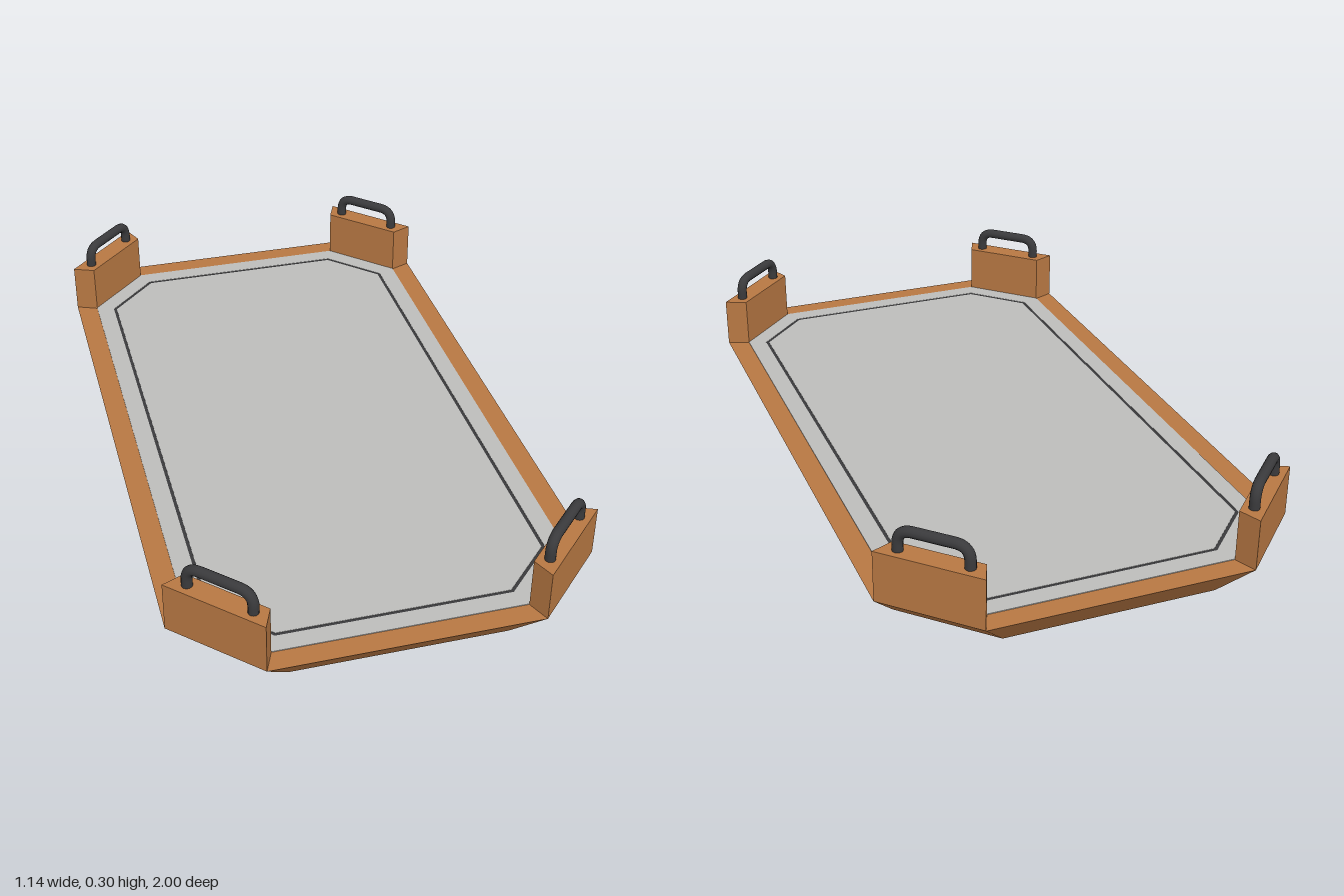
import * as THREE from 'three';

const mat = (name, color, extra = {}) => Object.assign(new THREE.MeshStandardMaterial({ color, ...extra }), { name });

const RIM = 0.087, BLOCK_TOP = 0.23;

// Chamfered rectangle: half width, half length, chamfer size
function octagon(w, l, c) {
  return [
    [w, l - c], [w - c, l], [c - w, l], [-w, l - c],
    [-w, c - l], [c - w, -l], [w - c, -l], [w, c - l],
  ].map(([x, y]) => new THREE.Vector2(x, y));
}

// Tray outline moved inward by an even distance
const inset = (d) => octagon(0.57 - d, 1 - d, 0.21 - d * (2 - Math.SQRT2));

// Lay an outline flat and extrude it upward from y0
function slab(points, hole, y0, height) {
  const shape = new THREE.Shape(points);
  if (hole) shape.holes.push(new THREE.Path(hole));
  const geo = new THREE.ExtrudeGeometry(shape, { depth: height, bevelEnabled: false });
  return geo.rotateX(-Math.PI / 2).translate(0, y0, 0);
}

export function createModel() {
  const group = new THREE.Group();
  const wood = mat('wood', 0xb87843, { flatShading: true });
  const grey = mat('grey panel', 0xbdbdbb, { flatShading: true });
  const black = mat('black metal', 0x3a3a3c);

  const add = (name, geo, material, parent = group) => {
    const mesh = new THREE.Mesh(geo, material);
    mesh.name = name;
    parent.add(mesh);
    return mesh;
  };

  // Tray base: the bottom outline is drawn in so the sides slope
  const base = slab(inset(0), null, 0, RIM);
  const p = base.attributes.position;
  for (let i = 0; i < p.count; i++) {
    if (p.getY(i) < RIM / 2) {
      p.setX(i, p.getX(i) - Math.sign(p.getX(i)) * 0.07);
      p.setZ(i, p.getZ(i) - Math.sign(p.getZ(i)) * 0.07);
    }
  }
  base.computeVertexNormals();
  add('trayBase', base, wood);

  // Thin grey border and panel with a dark seam between them
  add('panelBorder', slab(inset(0.061), inset(0.113), RIM - 0.001, 0.003), grey);
  add('panelSeam', slab(inset(0.113), inset(0.122), RIM - 0.001, 0.002), black);
  add('panel', slab(inset(0.122), null, RIM - 0.001, 0.003), grey);

  // Handle path: two legs and a bar with rounded corners
  const V = (x, y) => new THREE.Vector3(x, y, 0);
  const half = 0.095, top = 0.289, r = 0.04;
  const path = new THREE.CurvePath();
  path.add(new THREE.LineCurve3(V(-half, BLOCK_TOP - 0.01), V(-half, top - r)));
  path.add(new THREE.QuadraticBezierCurve3(V(-half, top - r), V(-half, top), V(r - half, top)));
  path.add(new THREE.LineCurve3(V(r - half, top), V(half - r, top)));
  path.add(new THREE.QuadraticBezierCurve3(V(half - r, top), V(half, top), V(half, top - r)));
  path.add(new THREE.LineCurve3(V(half, top - r), V(half, BLOCK_TOP - 0.01)));
  const handleGeo = new THREE.TubeGeometry(path, 40, 0.0145, 12);

  // Mitred corner blocks, each with a handle
  const outer = inset(0), inner = inset(0.061);
  for (const i of [0, 2, 4, 6]) {
    const corner = new THREE.Group();
    corner.name = 'corner' + (i / 2 + 1);
    group.add(corner);
    const quad = [outer[i], outer[i + 1], inner[i + 1], inner[i]];
    add('cornerBlock', slab(quad, null, RIM, BLOCK_TOP - RIM), wood, corner);

    const mid = quad.reduce((s, q) => s.add(q), new THREE.Vector2()).multiplyScalar(0.25);
    const handle = add('handle', handleGeo, black, corner);
    handle.position.set(mid.x, 0, -mid.y);
    handle.rotation.y = mid.x * mid.y > 0 ? -Math.PI / 4 : Math.PI / 4;
  }
  return group;
}
